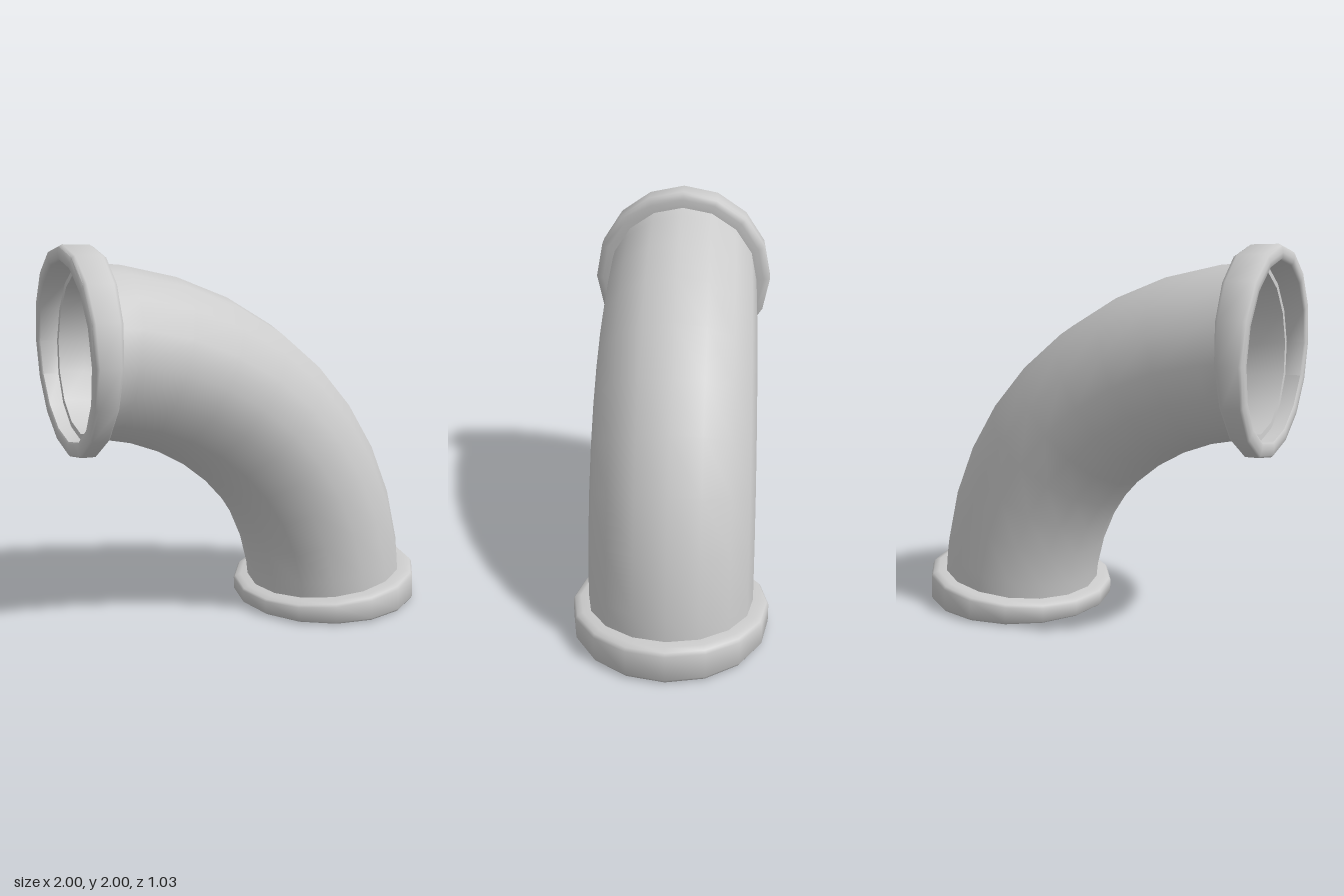
import * as THREE from 'three';
import { toCreasedNormals } from 'three/addons/utils/BufferGeometryUtils.js';

const BEND = 1.47;              // radius of the elbow's centre line
const CENTRE = [-0.985, 0.012]; // point the elbow bends around
const SIDES = 16;

// Sweeps a closed profile of [radius, bend angle in degrees] pairs round the pipe's centre line
function bentRing(name, profile, material) {
  const positions = [], index = [];
  const n = profile.length;
  for (const [r, deg] of profile) {
    const t = THREE.MathUtils.degToRad(deg);
    for (let j = 0; j < SIDES; j++) {
      const phi = (j / SIDES) * Math.PI * 2;
      const R = BEND + r * Math.cos(phi);
      positions.push(CENTRE[0] + R * Math.cos(t), CENTRE[1] + R * Math.sin(t), r * Math.sin(phi));
    }
  }
  for (let i = 0; i < n; i++) {
    for (let j = 0; j < SIDES; j++) {
      const i2 = (i + 1) % n, j2 = (j + 1) % SIDES;
      const a = i * SIDES + j, b = i2 * SIDES + j, c = i2 * SIDES + j2, d = i * SIDES + j2;
      index.push(a, b, c, a, c, d);
    }
  }
  const geometry = new THREE.BufferGeometry();
  geometry.setAttribute('position', new THREE.Float32BufferAttribute(positions, 3));
  geometry.setIndex(index);
  const mesh = new THREE.Mesh(toCreasedNormals(geometry, 0.9), material);
  mesh.name = name;
  return mesh;
}

export function createModel() {
  const group = new THREE.Group();
  group.name = 'pipeElbow';
  const material = new THREE.MeshStandardMaterial({ color: 0xcccccc });

  // Hollow pipe: out along the outer wall, back along the inner wall
  const angles = [3.4, 9, 18, 27, 36, 45, 54, 63, 72, 81, 86.6];
  const outer = angles.map((a) => [0.433, a]);
  const inner = angles.map((a) => [0.405, a]).reverse();
  group.add(bentRing('bentPipe', [...outer, ...inner], material));

  // Wedge-shaped collar with rounded rims and a recessed mouth
  const collar = [
    [0.475, -0.35], [0.505, -0.2], [0.515, 0.3],
    [0.515, 4.2], [0.505, 4.75], [0.475, 5.1], [0.42, 5.2],
    [0.42, 3.6], [0.44, 3.6], [0.44, 0], [0.45, -0.35],
  ];
  group.add(bentRing('lowerCollar', collar, material));

  // The upper collar mirrors the lower one across the middle of the bend
  const mirrored = collar.map(([r, a]) => [r, 90 - a]).reverse();
  group.add(bentRing('upperCollar', mirrored, material));

  return group;
}
